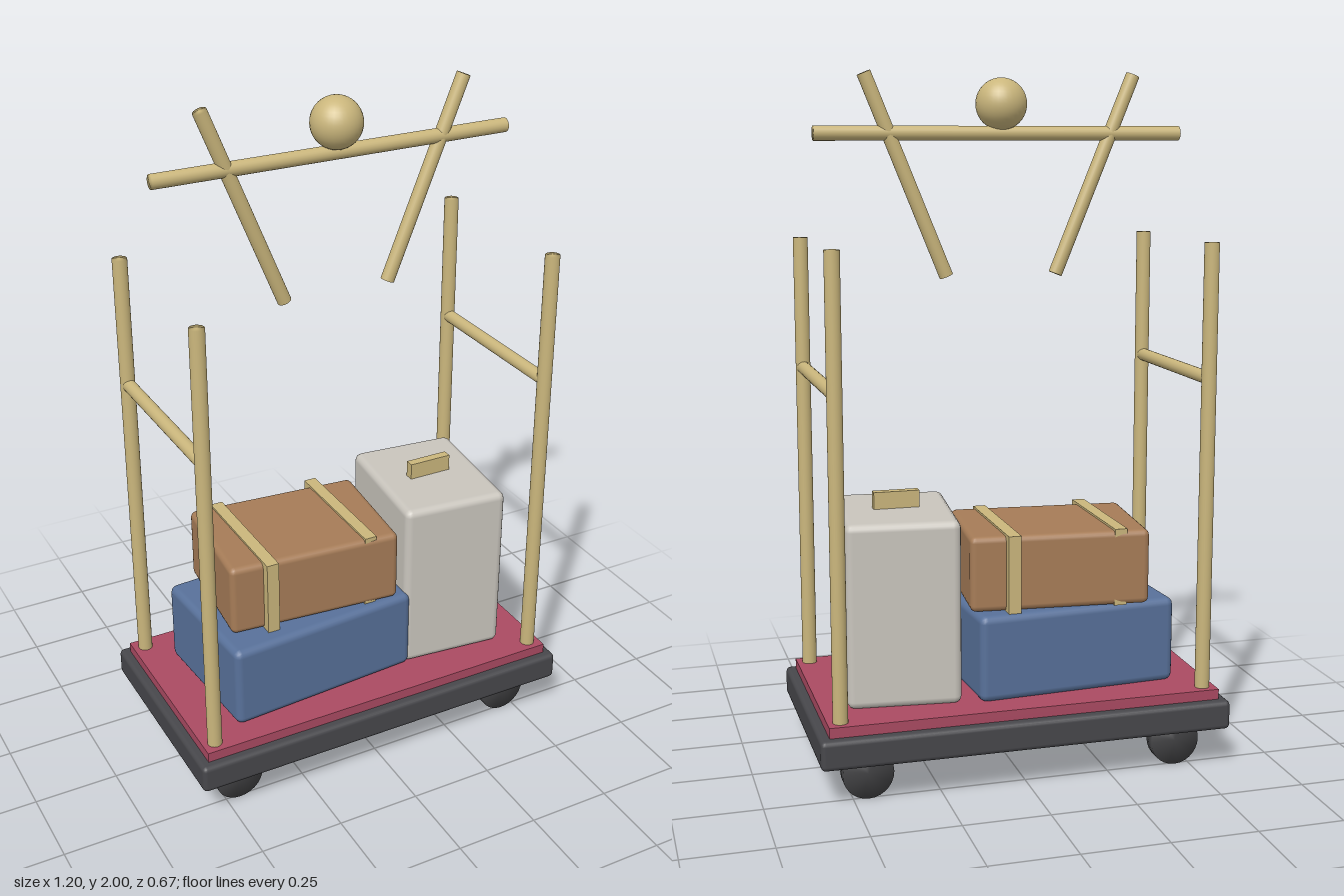
import * as THREE from 'three';
import { mergeVertices } from 'three/addons/utils/BufferGeometryUtils.js';
import { RoundedBoxGeometry } from 'three/addons/geometries/RoundedBoxGeometry.js';

const mat = (name, color) => {
  const m = new THREE.MeshStandardMaterial({ color });
  m.name = name;
  return m;
};

// Cylinder whose caps blend smoothly into the sides
function softCylinder(radius, length, sides = 24) {
  const g = new THREE.CylinderGeometry(radius, radius, length, sides);
  g.deleteAttribute('normal');
  g.deleteAttribute('uv');
  const merged = mergeVertices(g);
  merged.computeVertexNormals();
  return merged;
}

export function createModel() {
  const brass = mat('brass', 0xcab67c);
  const frame = mat('darkFrame', 0x47474b);
  const rubber = mat('rubber', 0x424244);
  const carpet = mat('redCarpet', 0xaa4a62);
  const blue = mat('blueFabric', 0x58719a);
  const tan = mat('tanLeather', 0xa67c57);
  const grey = mat('paleShell', 0xc9c5bd);

  const model = new THREE.Group();
  model.name = 'luggageCart';

  const add = (name, geometry, material, x, y, z, parent = model) => {
    const mesh = new THREE.Mesh(geometry, material);
    mesh.name = name;
    mesh.position.set(x, y, z);
    parent.add(mesh);
    return mesh;
  };

  // Round bar between two points
  const bar = (name, a, b, radius) => {
    const from = new THREE.Vector3(...a), to = new THREE.Vector3(...b);
    const dir = to.clone().sub(from);
    const mid = from.clone().add(to).multiplyScalar(0.5);
    const mesh = add(name, softCylinder(radius, dir.length()), brass, mid.x, mid.y, mid.z);
    mesh.quaternion.setFromUnitVectors(new THREE.Vector3(0, 1, 0), dir.normalize());
  };

  // Platform with carpet
  add('deck', new RoundedBoxGeometry(1.2, 0.085, 0.666, 2, 0.014), frame, 0, 0.1625, 0);
  add('carpet', new THREE.BoxGeometry(1.145, 0.03, 0.61), carpet, 0, 0.22, 0);

  // Wheels, posts and side rails
  for (const sx of [-1, 1]) {
    for (const sz of [-1, 1]) {
      const wheel = add('wheel', softCylinder(0.073, 0.04, 28), rubber, sx * 0.457, 0.073, sz * 0.238);
      wheel.rotation.x = Math.PI / 2;
      bar('post', [sx * 0.535, 0.2, sz * 0.267], [sx * 0.535, 1.53, sz * 0.267], 0.0215);
    }
    bar('sideRail', [sx * 0.535, 1.147, -0.265], [sx * 0.535, 1.147, 0.265], 0.019);
  }

  // Hanging bar, slanted braces and finial
  bar('topBar', [-0.535, 1.829, 0], [0.535, 1.829, 0], 0.0205);
  for (const s of [-1, 1]) bar('brace', [s * 0.162, 1.43, 0], [s * 0.392, 1.993, 0], 0.02);
  add('finial', new THREE.SphereGeometry(0.073, 32, 20), brass, 0, 1.91, 0);

  // Blue case lying at the bottom
  const blueCase = add('blueCase', new RoundedBoxGeometry(0.6, 0.253, 0.43, 2, 0.022), blue, -0.16, 0.361, 0);
  blueCase.rotation.y = 0.07;

  // Tan case with two straps
  const tanCase = add('tanCase', new RoundedBoxGeometry(0.525, 0.22, 0.37, 2, 0.018), tan, -0.137, 0.597, -0.019);
  tanCase.rotation.y = -0.087;
  for (const x of [-0.297, 0.02]) {
    add('strap', new THREE.BoxGeometry(0.037, 0.226, 0.394), brass, x, 0.6, -0.02);
  }

  // Upright pale case with handle
  const paleCase = add('paleCase', new RoundedBoxGeometry(0.325, 0.533, 0.41, 2, 0.022), grey, 0.317, 0.501, 0);
  paleCase.rotation.y = -0.1;
  add('caseHandle', new THREE.BoxGeometry(0.134, 0.06, 0.027), brass, 0.316, 0.787, 0);

  return model;
}
